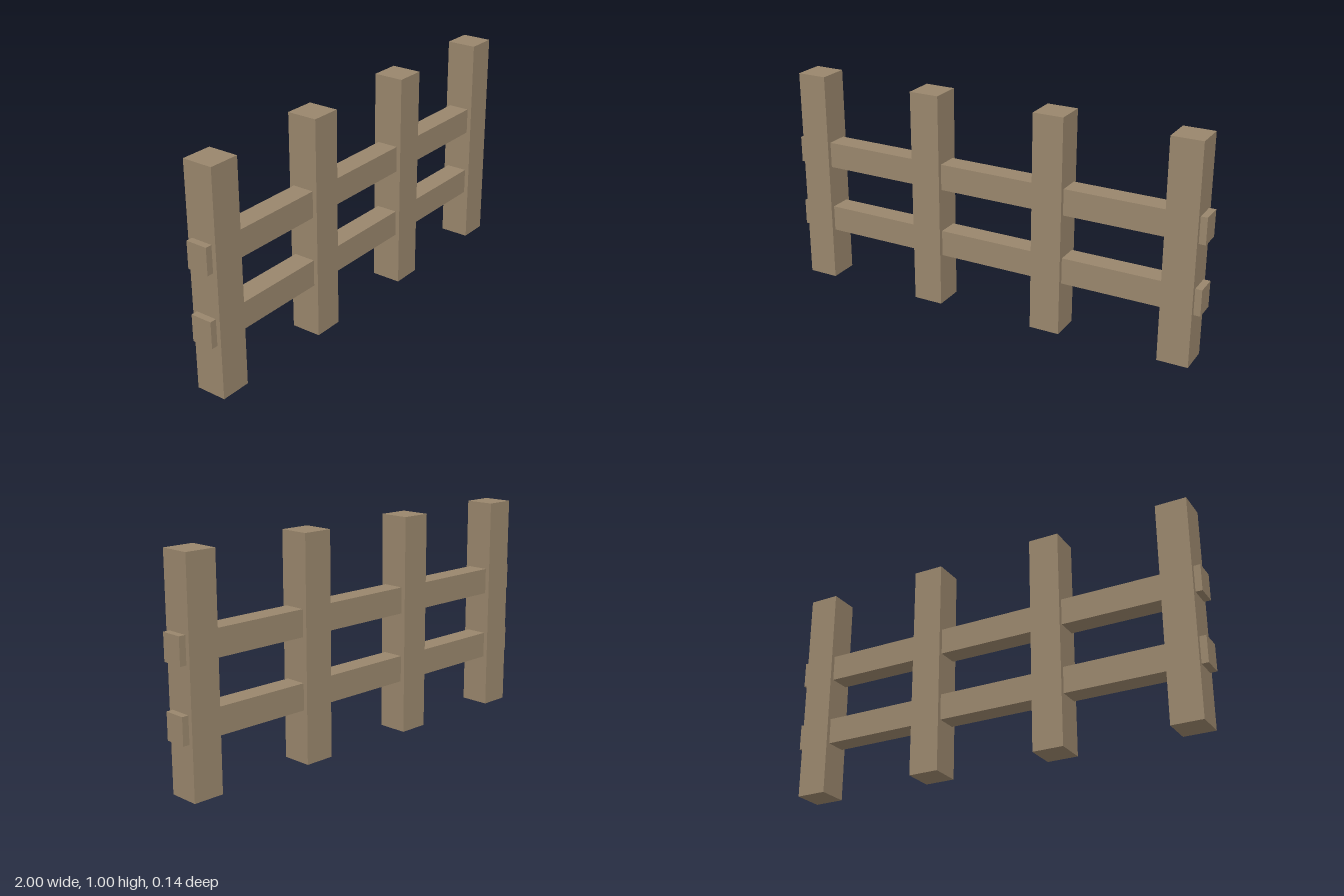
import * as THREE from 'three';

export function createModel() {
  const group = new THREE.Group();
  const wood = new THREE.MeshStandardMaterial({ color: 0x99866c });
  wood.name = 'weathered wood';

  const addBeam = (name, size, position) => {
    const mesh = new THREE.Mesh(new THREE.BoxGeometry(...size), wood);
    mesh.name = name;
    mesh.position.set(...position);
    group.add(mesh);
  };

  // Four evenly spaced square posts
  [-0.9, -0.3, 0.3, 0.9].forEach((x, i) =>
    addBeam(`post${i + 1}`, [0.14, 1, 0.14], [x, 0.5, 0]));

  // Two rails running through the posts
  addBeam('lowerRail', [2, 0.12, 0.1], [0, 0.3, 0]);
  addBeam('upperRail', [2, 0.12, 0.1], [0, 0.62, 0]);

  return group;
}
